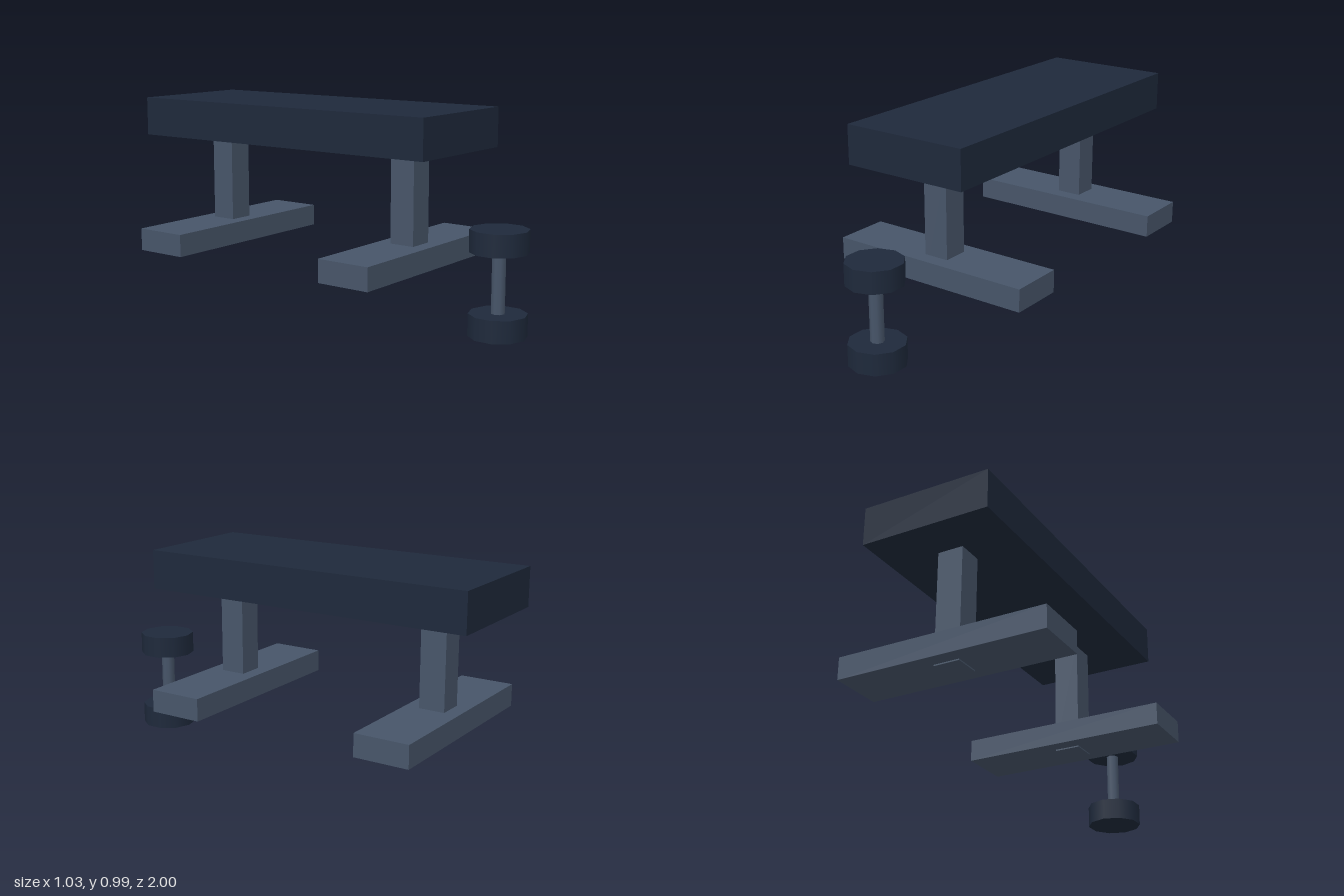
import * as THREE from 'three';

export function createModel() {
  const model = new THREE.Group();
  model.name = 'weightBench';
  const dark = new THREE.MeshStandardMaterial({ color: 0x1e293b });
  const steel = new THREE.MeshStandardMaterial({ color: 0x475569 });

  const add = (parent, name, geometry, material, x, y, z) => {
    const mesh = new THREE.Mesh(geometry, material);
    mesh.name = name;
    mesh.position.set(x, y, z);
    parent.add(mesh);
  };

  // Padded bench top
  add(model, 'benchPad', new THREE.BoxGeometry(0.632, 0.188, 1.667), dark, 0, 0.894, -0.167);

  // Two supports: a post through a wide foot
  for (const [name, z] of [['frontSupport', 0.39], ['rearSupport', -0.723]]) {
    const support = new THREE.Group();
    support.name = name;
    support.position.z = z;
    add(support, 'post', new THREE.BoxGeometry(0.126, 0.56, 0.126), steel, 0, 0.526, 0);
    add(support, 'foot', new THREE.BoxGeometry(1.03, 0.109, 0.268), steel, 0, 0.307, 0);
    model.add(support);
  }

  // Dumbbell standing on end in front of the bench
  const dumbbell = new THREE.Group();
  dumbbell.name = 'dumbbell';
  dumbbell.position.z = 0.866;
  add(dumbbell, 'handle', new THREE.CylinderGeometry(0.032, 0.032, 0.38, 8), steel, 0, 0.243, 0);
  const weight = new THREE.CylinderGeometry(0.134, 0.134, 0.104, 10);
  add(dumbbell, 'lowerWeight', weight, dark, 0, 0.052, 0);
  add(dumbbell, 'upperWeight', weight, dark, 0, 0.434, 0);
  model.add(dumbbell);

  return model;
}
